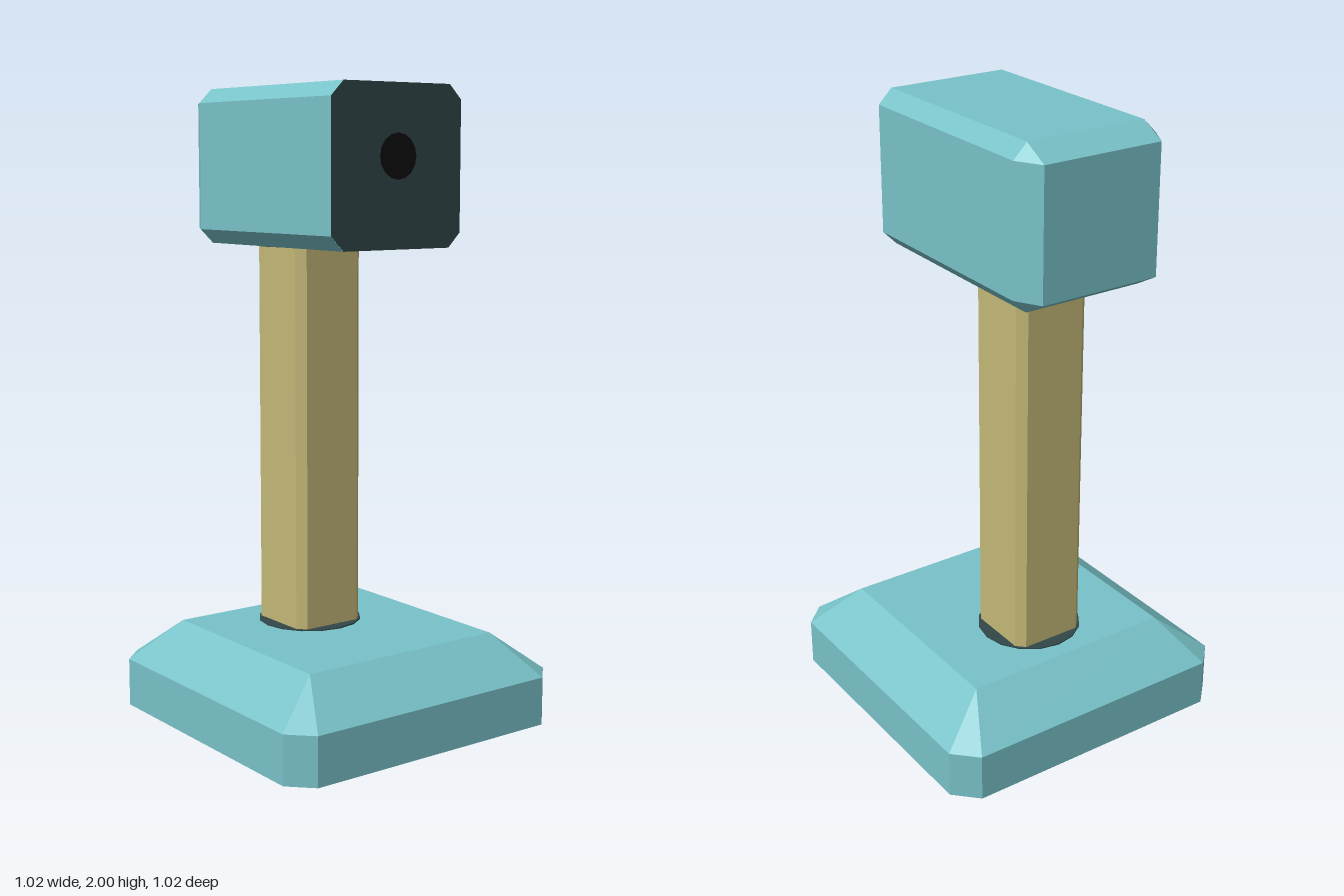
import * as THREE from 'three';

const paint = (name, color) => {
  const m = new THREE.MeshStandardMaterial({ color });
  m.name = name;
  return m;
};

// Square outline of half-width h with corners cut by c, counter-clockwise
function outline(h, c) {
  const k = h - c;
  return [[h, -k], [h, k], [k, h], [-k, h], [-h, k], [-h, -k], [-k, -h], [k, -h]];
}

// Faceted loft through sections [halfWidth, cut, z], z rising, with optional end caps
function loft(sections, capStart, capEnd) {
  const pos = [];
  const tri = (a, b, c) => {
    const same = (p, q) => p.every((v, i) => Math.abs(v - q[i]) < 1e-6);
    if (!same(a, b) && !same(b, c) && !same(a, c)) pos.push(...a, ...b, ...c);
  };
  const rings = sections.map(([h, c, z]) => outline(h, c).map(([x, y]) => [x, y, z]));
  for (let s = 0; s < rings.length - 1; s++) {
    const a = rings[s], b = rings[s + 1];
    for (let i = 0; i < 8; i++) {
      const j = (i + 1) % 8;
      tri(a[i], a[j], b[j]);
      tri(a[i], b[j], b[i]);
    }
  }
  const last = rings[rings.length - 1];
  for (let i = 1; i < 7; i++) {
    if (capStart) tri(rings[0][0], rings[0][i + 1], rings[0][i]);
    if (capEnd) tri(last[0], last[i], last[i + 1]);
  }
  const g = new THREE.BufferGeometry();
  g.setAttribute('position', new THREE.Float32BufferAttribute(pos, 3));
  g.computeVertexNormals();
  return g;
}

export function createModel() {
  const teal = paint('teal', 0x78c2c8);
  const wood = paint('tan', 0xc3b776);
  const dark = paint('darkTeal', 0x324748);
  const black = paint('black', 0x0d0d0d);
  teal.side = THREE.DoubleSide;
  for (const m of [teal, wood, dark, black]) m.flatShading = true;

  const group = new THREE.Group();
  const add = (name, geometry, material, x, y, z) => {
    const mesh = new THREE.Mesh(geometry, material);
    mesh.name = name;
    mesh.position.set(x, y, z);
    group.add(mesh);
    return mesh;
  };
  const postZ = -0.135;
  const up = -Math.PI / 2;

  // Hollow base, open underneath
  const base = loft([[0.512, 0.072, 0], [0.512, 0.072, 0.155], [0.355, 0, 0.28]], false, true);
  add('base', base.rotateX(up), teal, 0, 0, 0);

  // Post with bevelled corners
  const post = loft([[0.125, 0.026, 0.28], [0.125, 0.026, 1.515]], true, true);
  add('post', post.rotateX(up), wood, 0, 0, postZ);

  // Thin dark collars where the post meets base and head
  const collar = new THREE.CylinderGeometry(0.168, 0.168, 0.008, 16);
  add('baseCollar', collar, dark, 0, 0.28, postZ);
  add('headCollar', collar, dark, 0, 1.51, postZ);
  add('baseSocket', new THREE.CylinderGeometry(0.12, 0.12, 0.004, 16), black, 0, 0.275, postZ);

  // Bevelled head, tapered at the back edges
  const head = loft([[0.2, 0, -0.47], [0.245, 0.045, -0.39], [0.245, 0.045, 0.312]], true, false);
  add('head', head, teal, 0, 1.755, 0);

  // Front face plate and its round opening
  const plate = new THREE.ShapeGeometry(
    new THREE.Shape(outline(0.245, 0.045).map(([x, y]) => new THREE.Vector2(x, y))));
  add('facePlate', plate, dark, 0, 1.755, 0.313);
  add('faceOpening', new THREE.CircleGeometry(0.069, 16), black, 0, 1.785, 0.316);

  return group;
}
